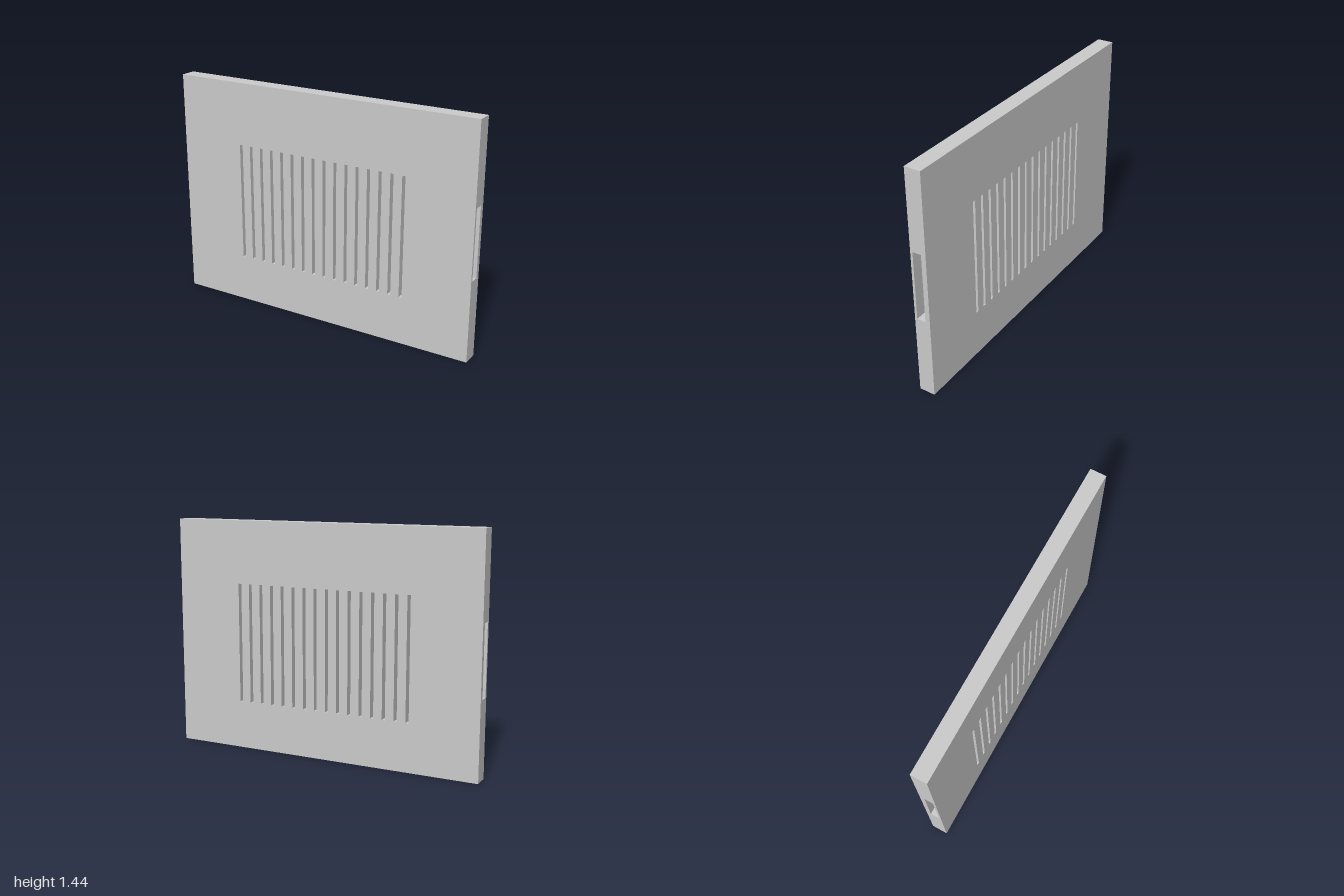
import * as THREE from 'three';
import { mergeGeometries } from 'three/addons/utils/BufferGeometryUtils.js';

const W = 2, H = 1.44, D = 0.1;
const SLOT = { count: 16, pitch: 0.075, w: 0.02, y0: 0.3, y1: 1.05 };
const POCKET = { h: 0.435, z0: -0.02, z1: 0.035, depth: 0.1 };

const rect = (Type, x0, y0, x1, y1) => new Type([
  new THREE.Vector2(x0, y0), new THREE.Vector2(x1, y0),
  new THREE.Vector2(x1, y1), new THREE.Vector2(x0, y1),
]);

// Flat sheet with rectangular holes, facing +z
function sheet(x0, y0, x1, y1, holes) {
  const shape = rect(THREE.Shape, x0, y0, x1, y1);
  holes.forEach((h) => shape.holes.push(rect(THREE.Path, ...h)));
  return new THREE.ShapeGeometry(shape);
}

// Chosen faces of a box (0 +x, 1 -x, 2 +y, 3 -y, 4 +z, 5 -z), optionally facing inward
function boxFaces(w, h, d, faces, inward = false) {
  const g = new THREE.BoxGeometry(w, h, d);
  const all = Array.from(g.index.array);
  const index = faces.flatMap((f) => all.slice(f * 6, f * 6 + 6));
  if (inward) {
    index.reverse();
    const n = g.attributes.normal;
    for (let i = 0; i < n.array.length; i++) n.array[i] *= -1;
  }
  g.setIndex(index);
  return g;
}

export function createModel() {
  const model = new THREE.Group();
  model.name = 'ventedPanel';
  const material = new THREE.MeshStandardMaterial({ color: 0xcccccc });
  const add = (name, geos) => {
    const mesh = new THREE.Mesh(mergeGeometries(geos), material);
    mesh.name = name;
    model.add(mesh);
  };

  // Front and back sheets pierced by the slots, with the top and bottom edges
  const centres = Array.from({ length: SLOT.count }, (_, i) => (i - (SLOT.count - 1) / 2) * SLOT.pitch);
  const holes = centres.map((x) => [x - SLOT.w / 2, SLOT.y0, x + SLOT.w / 2, SLOT.y1]);
  const face = () => sheet(-W / 2, 0, W / 2, H, holes);
  add('panelBody', [
    face().translate(0, 0, D / 2),
    face().rotateY(Math.PI).translate(0, 0, -D / 2),
    boxFaces(W, H, D, [2, 3]).translate(0, H / 2, 0),
  ]);

  // Inner walls of the through slots
  add('ventSlots', centres.map((x) =>
    boxFaces(SLOT.w, SLOT.y1 - SLOT.y0, D, [0, 1, 2, 3], true).translate(x, (SLOT.y0 + SLOT.y1) / 2, 0)));

  // Side edges, each with a grip pocket; the right one sits slightly lower
  for (const [name, s, y0] of [['leftEdge', 1, 0.505], ['rightEdge', -1, 0.483]]) {
    const { h, z0, z1, depth } = POCKET;
    // after turning the sheet to face +x or -x, its local x runs along -z or +z
    const [a, b] = s > 0 ? [-z1, -z0] : [z0, z1];
    add(name + 'WithGrip', [
      sheet(-D / 2, 0, D / 2, H, [[a, y0, b, y0 + h]])
        .rotateY(s * Math.PI / 2).translate(s * W / 2, 0, 0),
      boxFaces(depth, h, z1 - z0, [s > 0 ? 1 : 0, 2, 3, 4, 5], true)
        .translate(s * (W - depth) / 2, y0 + h / 2, (z0 + z1) / 2),
    ]);
  }
  return model;
}
